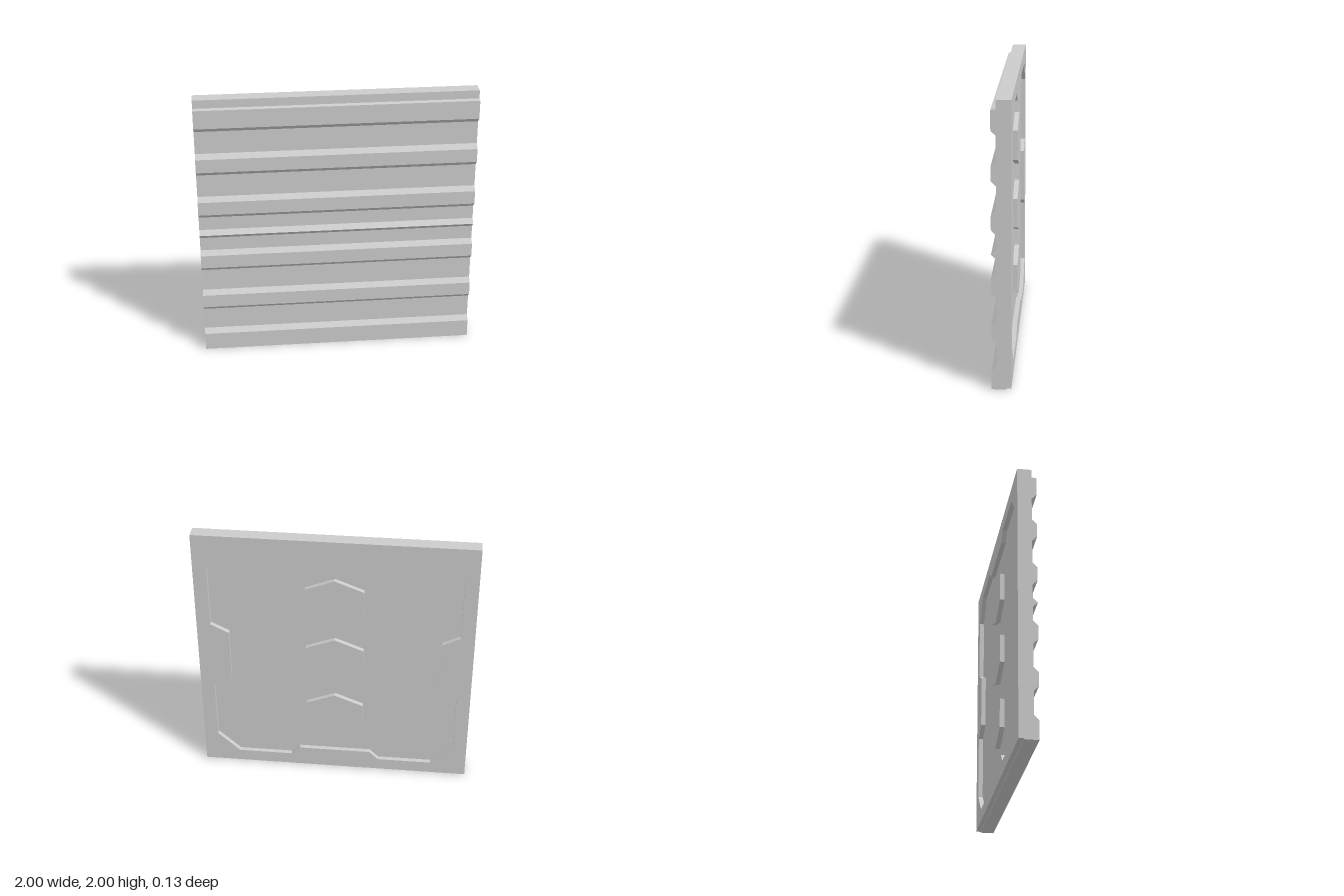
import * as THREE from 'three';

const BACK = -0.067, FLOOR = -0.033, BASE = 0.033, RIDGE = 0.067;

const toVectors = (points) => points.map(([x, y]) => new THREE.Vector2(x, y));

export function createModel() {
  const group = new THREE.Group();
  group.name = 'wallPanel';
  const material = new THREE.MeshStandardMaterial({ color: 0xcccccc, flatShading: true });

  const add = (name, geometry) => {
    const mesh = new THREE.Mesh(geometry, material);
    mesh.name = name;
    group.add(mesh);
  };
  const extrude = (shape, depth) =>
    new THREE.ExtrudeGeometry(shape, { depth, bevelEnabled: false });

  // Ribbed front slab: side profile (z, y) swept across the width
  const profile = [[FLOOR, 0], [RIDGE, 0], [RIDGE, 0.133], [BASE, 0.167]];
  const ribs = [[0.367, 0.467], [0.7, 0.8], [0.967, 0.967], [1.133, 1.233], [1.467, 1.567]];
  for (const [low, high] of ribs) {
    profile.push([BASE, low - 0.033], [RIDGE, low]);
    if (high > low) profile.push([RIDGE, high]);
    profile.push([BASE, high + 0.033]);
  }
  profile.push([BASE, 1.767], [RIDGE, 1.8], [RIDGE, 1.935], [BASE, 1.94], [BASE, 2], [FLOOR, 2]);
  const slab = extrude(new THREE.Shape(toVectors(profile)), 2);
  slab.rotateY(-Math.PI / 2).translate(1, 0, 0);
  add('ribbedSlab', slab);

  // Back frame: one quarter of the notched opening, mirrored to all four corners
  const quarter = [[0.767, 0.2], [0.9, 0.267], [0.9, 0.745], [0.733, 0.9],
    [0.333, 0.9], [0.267, 0.835]];
  const flipped = [...quarter].reverse();
  const opening = [
    ...quarter,
    ...flipped.map(([x, y]) => [-x, y]),
    ...quarter.map(([x, y]) => [-x, -y]),
    ...flipped.map(([x, y]) => [x, -y]),
  ].map(([x, y]) => [x, y + 1]);
  const frame = new THREE.Shape(toVectors([[-1, 0.007], [1, 0.007], [1, 2], [-1, 2]]));
  frame.holes.push(new THREE.Path(toVectors(opening)));
  add('backFrame', extrude(frame, FLOOR - BACK).translate(0, 0, BACK));

  // Three raised hexagonal pads in the recess
  const hexagon = new THREE.Shape(toVectors([
    [0, -0.19], [0.21, -0.107], [0.21, 0.107], [0, 0.19], [-0.21, 0.107], [-0.21, -0.107],
  ]));
  for (const y of [0.5, 1, 1.5]) {
    add('hexagonPad', extrude(hexagon, FLOOR - BACK).translate(0, y, BACK));
  }
  return group;
}
